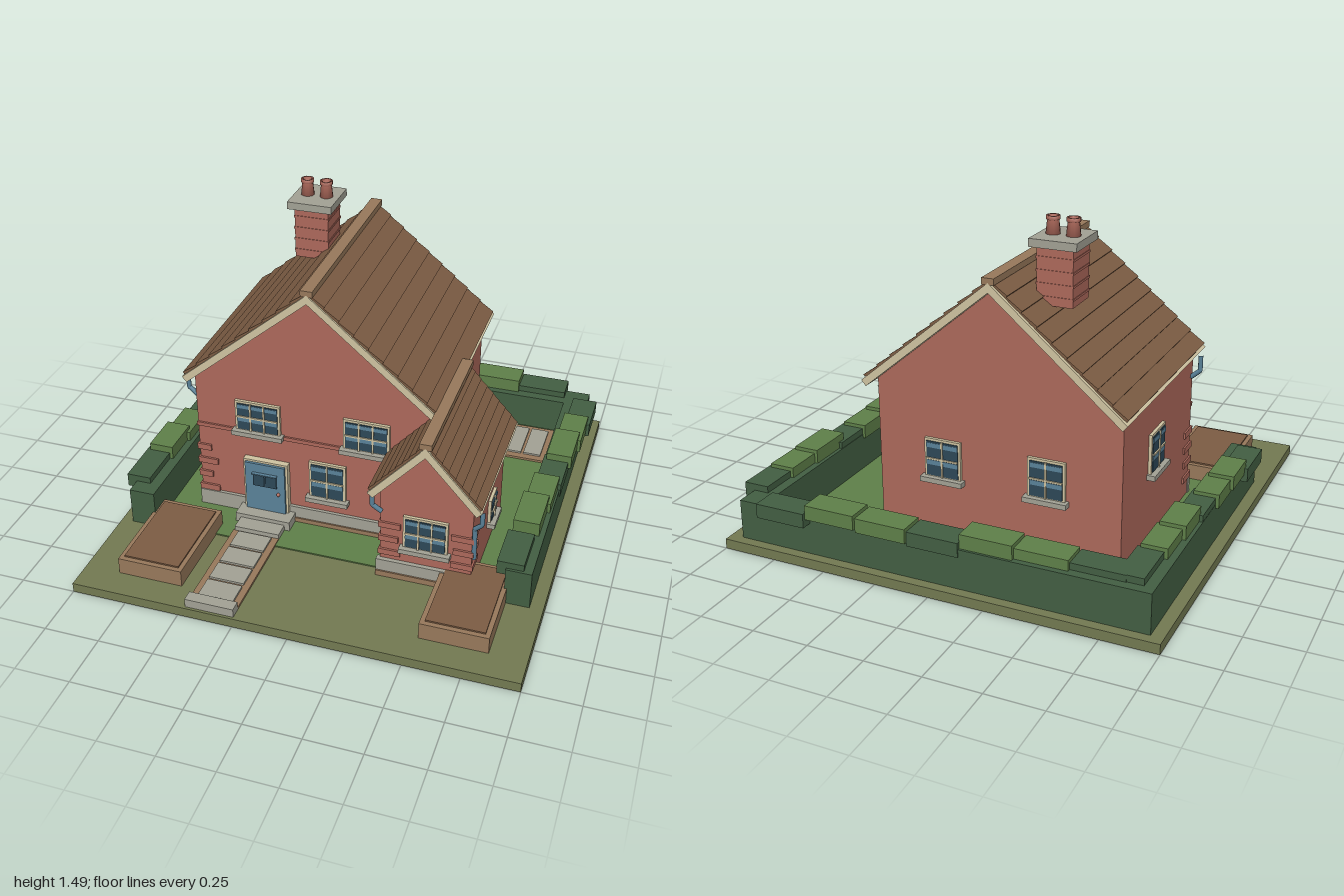
import * as THREE from 'three';

const mat = (name, color) => {
  const m = new THREE.MeshStandardMaterial({ color });
  m.name = name;
  return m;
};

export function createModel() {
  const earth = mat('olive ground', 0x737a52), leaf = mat('leaf green', 0x5f8049);
  const hedge = mat('hedge green', 0x435f43), brick = mat('brick red', 0xad695b);
  const cream = mat('cream trim', 0xd0c4a2), tile = mat('roof brown', 0x7d5d44);
  const tan = mat('tan edging', 0x98795b), stone = mat('stone grey', 0xa3a295);
  const blue = mat('blue paint', 0x5a8299), glass = mat('dark glass', 0x2d4858);

  const root = new THREE.Group();
  root.name = 'cottage';

  const add = (name, geo, m, parent = root) => {
    const mesh = new THREE.Mesh(geo, m);
    mesh.name = name;
    parent.add(mesh);
    return mesh;
  };
  // Box given by its limits on each axis
  const box = (name, m, x0, x1, y0, y1, z0, z1, parent = root) => {
    const b = add(name, new THREE.BoxGeometry(x1 - x0, y1 - y0, z1 - z0), m, parent);
    b.position.set((x0 + x1) / 2, (y0 + y1) / 2, (z0 + z1) / 2);
    return b;
  };
  const group = (name, x, y, z, parent = root) => {
    const g = new THREE.Group();
    g.name = name;
    g.position.set(x, y, z);
    parent.add(g);
    return g;
  };

  // Ground and lawn
  box('ground', earth, -1, 1, 0, 0.045, -1, 1);
  box('lawn', leaf, -0.9, 0.9, 0.045, 0.051, -0.9, 0.49);

  // Gabled wall blocks
  const walls = (name, x0, x1, eave, peak, z0, z1) => {
    const s = new THREE.Shape();
    s.moveTo(x0, 0.045);
    s.lineTo(x1, 0.045);
    s.lineTo(x1, eave);
    s.lineTo((x0 + x1) / 2, peak);
    s.lineTo(x0, eave);
    s.closePath();
    add(name, new THREE.ExtrudeGeometry(s, { depth: z1 - z0, bevelEnabled: false }), brick).position.z = z0;
  };
  walls('mainWalls', -0.69, 0.43, 0.762, 1.245, -0.61, 0.27);
  walls('wingWalls', 0.26, 0.67, 0.53, 0.765, -0.1, 0.51);

  // Roof: two sloping slabs, overlapping tile rows and a ridge cap
  const roof = (name, px, py, half, drop, z0, z1, rows) => {
    const g = group(name, px, py, 0);
    const len = Math.hypot(half, drop), angle = Math.atan2(drop, half), pitch = (len - 0.02) / rows;
    for (const s of [-1, 1]) {
      const slope = group('slope', 0, 0, 0, g);
      slope.rotation.z = -s * angle;
      const ends = (a, b) => (s > 0 ? [a, b] : [-b, -a]);
      box('roofSlab', cream, ...ends(0, len), -0.032, 0, z0, z1, slope);
      for (let i = 0; i < rows; i++) {
        const row = box('tileRow', tile, ...ends(i * pitch, (i + 1) * pitch + 0.006), -0.002, 0.01, z0 + 0.015, z1 - 0.008, slope);
        row.rotation.z = s * 0.09;
      }
    }
    box('ridgeCap', tan, -0.027, 0.027, -0.008, 0.02, z0, z1, g);
  };
  roof('mainRoof', -0.13, 1.268, 0.6, 0.505, -0.68, 0.32, 9);
  roof('wingRoof', 0.465, 0.782, 0.25, 0.277, -0.155, 0.565, 8);

  // Chimney with brick courses, cap and pots
  box('chimney', brick, -0.4, -0.24, 1.13, 1.38, -0.455, -0.285);
  for (let i = 0; i < 4; i++) {
    const y = 1.16 + i * 0.055;
    box('chimneyCourse', brick, -0.403, -0.237, y, y + 0.01, -0.458, -0.282);
  }
  box('chimneyCap', stone, -0.425, -0.215, 1.375, 1.41, -0.482, -0.255);
  for (const x of [-0.365, -0.275]) {
    const pot = [[0, 0], [0.031, 0], [0.025, 0.058], [0.03, 0.06], [0.03, 0.076], [0.02, 0.076], [0.02, 0.04], [0, 0.04]];
    const p = add('chimneyPot', new THREE.LatheGeometry(pot.map(([r, y]) => new THREE.Vector2(r, y)), 12), brick);
    p.position.set(x, 1.41, -0.37);
  }

  // Windows: frame, glass, pale reflections, bars and sill
  const windowAt = (x, y, z, turn, w, h, bars) => {
    const g = group('window', x, y, z);
    g.rotation.y = turn;
    box('windowFrame', cream, -w / 2, w / 2, 0, h, -0.01, 0.014, g);
    const a = w / 2 - 0.011;
    box('windowGlass', glass, -a, a, 0.011, h - 0.011, 0.012, 0.018, g);
    for (const f of [0.34, 0.78]) box('reflection', blue, -a, a, h * f, h * (f + 0.12), 0.016, 0.02, g);
    for (let i = 1; i <= bars; i++) {
      const c = -a + (2 * a * i) / (bars + 1);
      box('windowBar', cream, c - 0.004, c + 0.004, 0.008, h - 0.008, 0.015, 0.024, g);
    }
    box('windowBar', cream, -a, a, h / 2 - 0.004, h / 2 + 0.004, 0.015, 0.024, g);
    box('windowSill', stone, -w / 2 - 0.014, w / 2 + 0.014, -0.017, 0.006, -0.01, 0.038, g);
  };
  const q = Math.PI / 2;
  windowAt(-0.39, 0.505, 0.27, 0, 0.215, 0.157, 2);
  windowAt(0.123, 0.505, 0.27, 0, 0.215, 0.157, 2);
  windowAt(-0.062, 0.207, 0.27, 0, 0.175, 0.193, 1);
  windowAt(0.465, 0.217, 0.51, 0, 0.2, 0.168, 2);
  windowAt(0.43, 0.385, -0.235, q, 0.17, 0.185, 1);
  windowAt(0.67, 0.187, 0.15, q, 0.115, 0.123, 1);
  windowAt(-0.69, 0.385, -0.22, -q, 0.17, 0.185, 1);
  for (const x of [0.12, -0.36]) windowAt(x, 0.345, -0.61, Math.PI, 0.17, 0.18, 1);

  // Front door
  box('doorFrame', cream, -0.463, -0.248, 0.06, 0.363, 0.26, 0.3);
  box('door', blue, -0.452, -0.259, 0.09, 0.353, 0.29, 0.312);
  for (const x of [-0.412, -0.352]) box('doorPane', glass, x, x + 0.054, 0.235, 0.3, 0.305, 0.318);
  box('doorLintel', blue, -0.415, -0.295, 0.3, 0.306, 0.305, 0.328);
  const knob = add('doorKnob', new THREE.SphereGeometry(0.009, 10, 8), brick);
  knob.position.set(-0.29, 0.205, 0.318);

  // Brick band, corner blocks and stone base on the front
  box('brickBand', brick, -0.693, 0.3, 0.486, 0.505, 0.26, 0.279);
  for (let i = 0; i < 4; i++) {
    const y = 0.13 + i * 0.075, w = i % 2 ? 0.09 : 0.1;
    box('cornerBlock', brick, -0.698, -0.6 - (i % 2) * 0.03, y, y + 0.03, 0.18, 0.28);
    if (i < 3) {
      const v = 0.155 + i * 0.073;
      box('cornerBlock', brick, 0.252, 0.252 + w, v, v + 0.028, 0.42, 0.52);
      box('cornerBlock', brick, 0.678 - w, 0.678, v, v + 0.028, 0.42, 0.52);
    }
  }
  box('mainPlinth', stone, -0.695, 0.26, 0.045, 0.13, 0.26, 0.285);
  box('wingPlinth', stone, 0.245, 0.68, 0.045, 0.13, 0.5, 0.53);
  box('mainFooting', tan, -0.22, 0.25, 0.045, 0.072, 0.26, 0.292);
  box('wingFooting', tan, 0.245, 0.68, 0.045, 0.072, 0.5, 0.537);

  // Downpipes
  const pipe = (pts) => {
    const path = new THREE.CurvePath();
    const v = pts.map((p) => new THREE.Vector3(...p));
    for (let i = 1; i < v.length; i++) path.add(new THREE.LineCurve3(v[i - 1], v[i]));
    add('downpipe', new THREE.TubeGeometry(path, 24, 0.011, 8), blue);
  };
  pipe([[-0.732, 0.745, 0.25], [-0.732, 0.672, 0.25], [-0.69, 0.635, 0.25]]);
  pipe([[0.226, 0.5, 0.525], [0.226, 0.42, 0.525], [0.265, 0.385, 0.515]]);
  pipe([[0.71, 0.49, 0.525], [0.71, 0.42, 0.525], [0.678, 0.385, 0.512], [0.678, 0.22, 0.505]]);

  // Doorstep and garden path
  box('upperStep', stone, -0.485, -0.22, 0.045, 0.097, 0.27, 0.37);
  box('lowerStep', stone, -0.46, -0.245, 0.045, 0.078, 0.36, 0.445);
  box('pathEdging', tan, -0.468, -0.245, 0.045, 0.056, 0.44, 0.94);
  for (let i = 0; i < 5; i++) {
    const z = 0.457 + i * 0.118;
    box('pathSlab', stone, -0.437, -0.275, 0.05, 0.066, z, Math.min(z + 0.103, 0.925));
  }
  box('gateStep', stone, -0.468, -0.245, 0.045, 0.086, 0.935, 0.988);

  // Raised beds
  for (const s of [-1, 1]) {
    const c = s * 0.686;
    box('bedEdging', tan, c - 0.15, c + 0.15, 0.045, 0.124, 0.41, 0.87);
    box('bedSoil', tile, c - 0.129, c + 0.129, 0.1, 0.131, 0.432, 0.848);
  }

  // Back patio
  box('patioEdging', tan, 0.46, 0.795, 0.045, 0.062, -0.815, -0.525);
  for (let i = 0; i < 3; i++) {
    const x = 0.488 + i * 0.098;
    box('patioSlab', stone, x, x + 0.085, 0.055, 0.071, -0.785, -0.56);
  }

  // Hedges with clipped tops that wander from side to side
  box('leftHedge', hedge, -0.945, -0.825, 0.045, 0.225, -0.955, 0.515);
  box('rightHedge', hedge, 0.825, 0.94, 0.045, 0.225, -0.955, 0.545);
  box('backHedge', hedge, -0.945, 0.94, 0.045, 0.225, -0.955, -0.835);
  const clump = (x, z, w, d, i) => {
    const y = 0.255 + (i % 3) * 0.017;
    box('hedgeTop', i % 3 === 0 ? hedge : leaf, x - w / 2, x + w / 2, y - 0.065, y, z - d / 2, z + d / 2);
  };
  for (let i = 0; i < 7; i++) clump(-0.708 + i * 0.235, -0.853 - i * 0.0152, 0.235, 0.122, i);
  [-0.79, -0.58, -0.4, -0.2, -0.04, 0.125, 0.32].forEach((z, i) => clump(-0.84 - i * 0.0155, z, 0.115, i % 3 ? 0.2 : 0.24, i));
  [-0.735, -0.56, -0.385, -0.2, -0.015, 0.165, 0.42].forEach((z, i) => clump(0.93 - i * 0.0145, z, 0.118, 0.225, i));

  return root;
}
